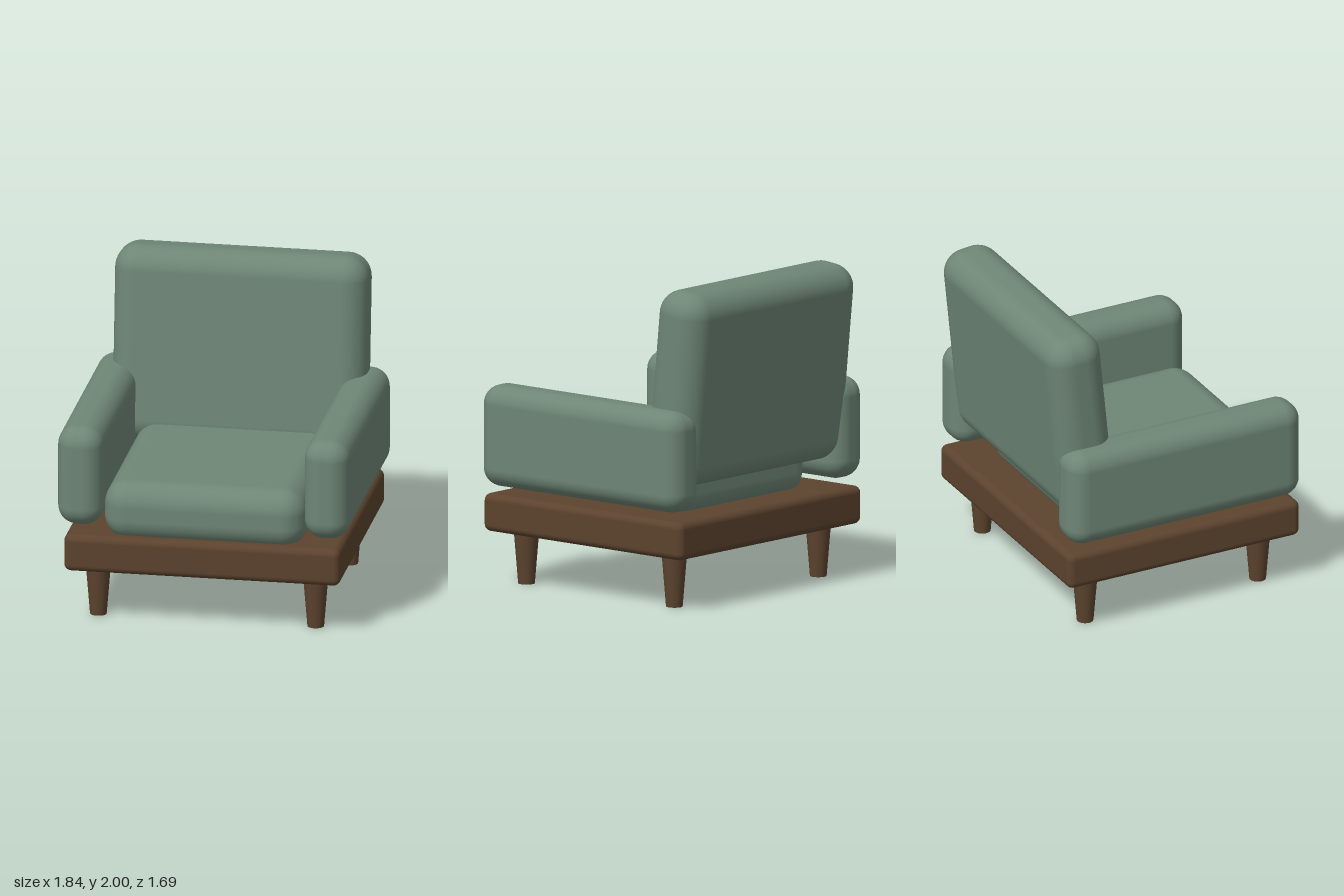
import * as THREE from 'three';
import { RoundedBoxGeometry } from 'three/addons/geometries/RoundedBoxGeometry.js';

export function createModel() {
  const chair = new THREE.Group();
  chair.name = 'armchair';

  const fabric = new THREE.MeshStandardMaterial({ color: 0x6e8676 });
  fabric.name = 'sage green fabric';
  const wood = new THREE.MeshStandardMaterial({ color: 0x5c432e });
  wood.name = 'dark brown wood';

  const add = (name, geometry, material, x, y, z) => {
    const mesh = new THREE.Mesh(geometry, material);
    mesh.name = name;
    mesh.position.set(x, y, z);
    chair.add(mesh);
    return mesh;
  };
  const softBox = (w, h, d, r) => new RoundedBoxGeometry(w, h, d, 6, r);

  // Wooden platform
  add('basePlatform', softBox(1.74, 0.24, 1.625, 0.045), wood, 0, 0.45, 0.0275);

  // Seat cushion, sunk slightly into the platform
  add('seatCushion', softBox(1.27, 0.38, 1.385, 0.15), fabric, 0, 0.715, 0.1225);

  // Backrest, leaning backwards
  const backrest = add('backrest', softBox(1.6, 1.248, 0.37, 0.15), fabric, 0, 1.375, -0.613);
  backrest.rotation.x = -0.1;

  // Mirrored armrests and tapered legs
  const armGeometry = softBox(0.285, 0.64, 1.625, 0.12);
  const legGeometry = new THREE.CylinderGeometry(0.08, 0.052, 0.34, 24);
  for (const [side, s] of [['left', 1], ['right', -1]]) {
    add(side + 'Armrest', armGeometry, fabric, s * 0.7775, 0.94, 0.0325);
    add(side + 'FrontLeg', legGeometry, wood, s * 0.685, 0.17, 0.633);
    add(side + 'BackLeg', legGeometry, wood, s * 0.685, 0.17, -0.577);
  }

  return chair;
}
